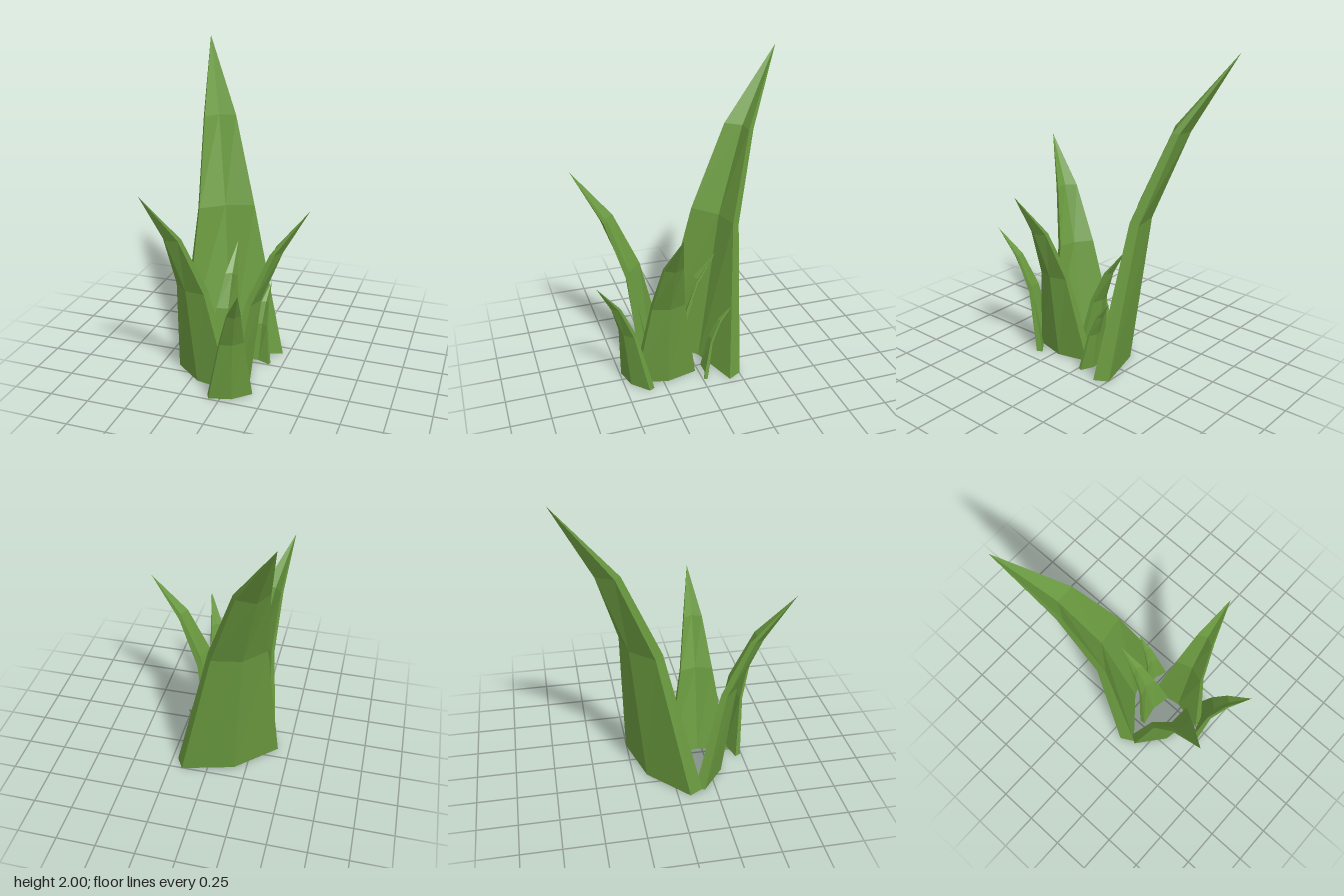
import * as THREE from 'three';

// Crescent cross-sections of one blade that leans towards +z:
// half width, then [y, z] of the outer edge, outer ridge, inner edge and inner groove
const SECTIONS = [
  { w: 0.338, outer: [0, 0.049], ridge: [0, 0.134], inner: [0, -0.049], groove: [0, 0.017] },
  { w: 0.179, outer: [0.98, 0.197], ridge: [0.98, 0.256], inner: [1.0, 0.143], groove: [0.985, 0.212] },
  { w: 0.102, outer: [1.535, 0.415], ridge: [1.53, 0.475], inner: [1.54, 0.373], groove: [1.535, 0.43] },
];
const TIP = [0, 2, 0.741];

function bladeGeometry() {
  const positions = [];
  const index = [];
  for (const { w, outer, ridge, inner, groove } of SECTIONS) {
    positions.push(-w, ...outer, 0, ...ridge, w, ...outer, w, ...inner, 0, ...groove, -w, ...inner);
  }
  positions.push(...TIP);
  const tip = SECTIONS.length * 6;
  for (let j = 0; j < 6; j++) {
    const k = (j + 1) % 6;
    // Side walls between the sections
    for (let r = 0; r < tip - 6; r += 6) {
      index.push(r + j, r + k, r + 6 + k, r + j, r + 6 + k, r + 6 + j);
    }
    // Point of the blade
    index.push(tip - 6 + j, tip - 6 + k, tip);
  }
  // Underside
  index.push(0, 5, 4, 0, 4, 1, 1, 4, 3, 1, 3, 2);

  const indexed = new THREE.BufferGeometry();
  indexed.setAttribute('position', new THREE.Float32BufferAttribute(positions, 3));
  indexed.setIndex(index);
  const geometry = indexed.toNonIndexed();
  geometry.computeVertexNormals();
  return geometry;
}

// Name, base position, lean direction [x, z] and scale of each blade
const BLADES = [
  ['tallBackBlade', [-0.105, -0.045], [-0.49, -0.87], 1],
  ['frontRightBlade', [-0.167, 0.245], [-0.424, 0.906], 0.666],
  ['leftBlade', [0.03, 0.22], [1, 0], 0.59],
  ['smallFrontBlade', [0.042, 0.408], [0.48, 0.878], 0.404],
  ['smallCentreBlade', [-0.1, 0.115], [0, -1], 0.388],
  ['tinyBackBlade', [0.083, -0.033], [0.18, -0.98], 0.25],
];

export function createModel() {
  const group = new THREE.Group();
  group.name = 'grassTuft';
  const geometry = bladeGeometry();
  const material = new THREE.MeshStandardMaterial({ color: 0x6a9a3f, flatShading: true });
  for (const [name, [x, z], [dx, dz], scale] of BLADES) {
    const blade = new THREE.Mesh(geometry, material);
    blade.name = name;
    blade.position.set(x, 0, z);
    blade.rotation.y = Math.atan2(dx, dz);
    blade.scale.setScalar(scale);
    group.add(blade);
  }
  return group;
}
